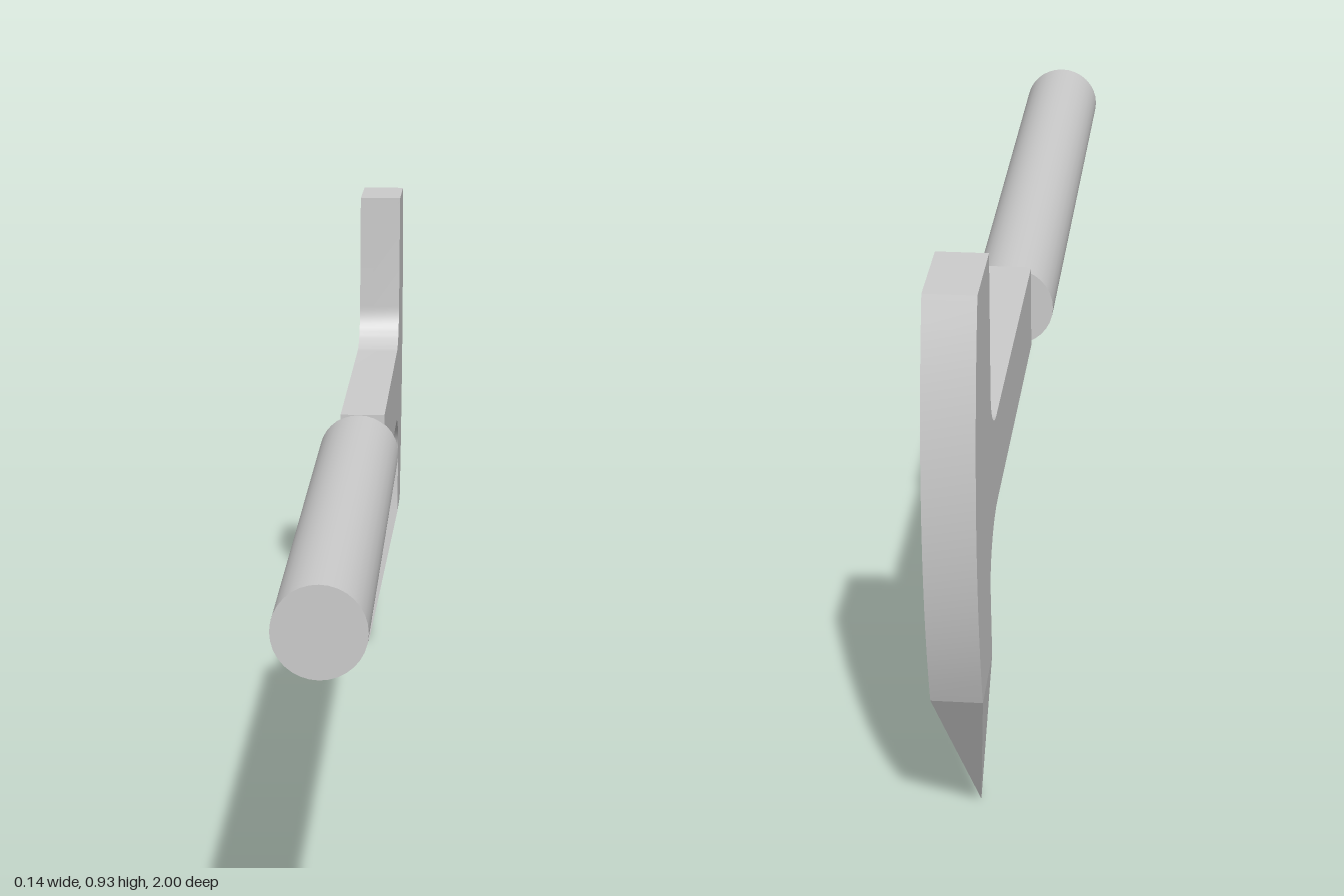
import * as THREE from 'three';
import { toCreasedNormals } from 'three/addons/utils/BufferGeometryUtils.js';
import { ConvexGeometry } from 'three/addons/geometries/ConvexGeometry.js';

export function createModel() {
  const group = new THREE.Group();
  const material = new THREE.MeshStandardMaterial({ color: 0xcccccc });
  const add = (name, geometry) => {
    const mesh = new THREE.Mesh(geometry, material);
    mesh.name = name;
    group.add(mesh);
    return mesh;
  };

  const xMin = -0.036, xMax = 0.043;

  // Grip: a plain round bar, dropping slightly towards the head
  const grip = add('grip', toCreasedNormals(new THREE.CylinderGeometry(0.071, 0.071, 1.11, 32).rotateX(Math.PI / 2), 0.6));
  grip.position.set(-0.001, 0.577, 0.445);
  grip.rotation.x = -0.007;

  // Shank and head: one side profile (horizontal axis is -z) of even thickness
  const profile = new THREE.Shape();
  profile.moveTo(0.105, 0.502);
  profile.lineTo(0.7, 0.495);
  profile.bezierCurveTo(0.77, 0.494, 0.818, 0.445, 0.815, 0.4); // lower fillet
  profile.lineTo(0.803, 0.28);
  profile.lineTo(0.94, 0.275);
  profile.bezierCurveTo(1.015, 0.475, 1.02, 0.71, 0.945, 0.933); // curved back
  profile.lineTo(0.786, 0.935);
  profile.lineTo(0.786, 0.715);
  profile.bezierCurveTo(0.786, 0.67, 0.75, 0.639, 0.7, 0.64); // upper fillet
  profile.lineTo(0.105, 0.645);
  profile.closePath();
  const head = new THREE.ExtrudeGeometry(profile, { depth: xMax - xMin, bevelEnabled: false, curveSegments: 14 });
  head.translate(0, 0, xMin).rotateY(Math.PI / 2);
  // Lean the blade a touch sideways with height
  const pos = head.attributes.position;
  const lean = (y) => 0.006 * (y - 0.28);
  for (let i = 0; i < pos.count; i++) pos.setX(i, pos.getX(i) + lean(pos.getY(i)));
  add('headAndShank', toCreasedNormals(head, 0.4));

  // Spike: four-sided point below the head
  const corners = [new THREE.Vector3(-0.015, 0.003, -0.775)];
  for (const x of [xMin, xMax]) {
    corners.push(new THREE.Vector3(x, 0.28, -0.803), new THREE.Vector3(x, 0.275, -0.94));
  }
  add('spike', new ConvexGeometry(corners));

  return group;
}
